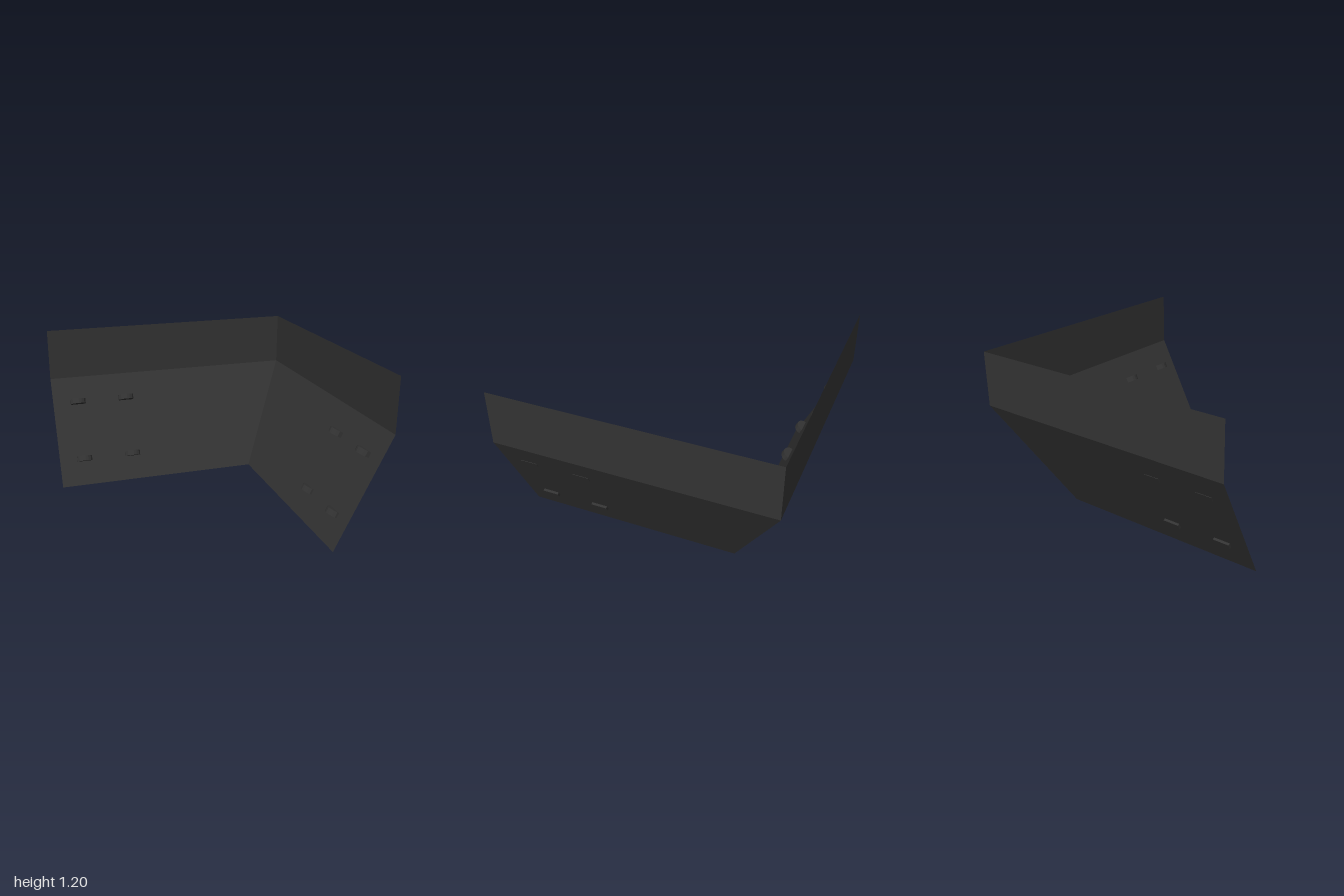
import * as THREE from 'three';

const material = new THREE.MeshStandardMaterial({ color: 0x333333, side: THREE.DoubleSide });
material.flatShading = true;
const TILT = Math.atan2(0.4, 0.8);

function named(name, geometry) {
  const mesh = new THREE.Mesh(geometry, material);
  mesh.name = name;
  return mesh;
}

// Flat four-sided sheet, corners in order
function sheet(a, b, c, d) {
  const g = new THREE.BufferGeometry();
  g.setAttribute('position', new THREE.Float32BufferAttribute([a, b, c, a, c, d].flat(), 3));
  g.computeVertexNormals();
  return g;
}

// Small block with a rounded nose, standing out along +z
function holdGeometry() {
  const side = [[0.06, 0], [0.06, 0.033], [0.046, 0.056], [0.023, 0.07]];
  const points = [...side, [0, 0.0745], ...side.map(([x, y]) => [-x, y]).reverse()];
  const shape = new THREE.Shape(points.map(([x, y]) => new THREE.Vector2(x, y)));
  const length = 0.041;
  return new THREE.ExtrudeGeometry(shape, { depth: length, bevelEnabled: false })
    .rotateX(Math.PI / 2)
    .translate(0, length / 2, 0);
}

// One wall along x at the back; s = -1 gives its mirror image
function wing(name, s) {
  const group = new THREE.Group();
  group.name = name;

  // Sloping lower wall, mitred at the corner, and upright band above
  const lower = [[-s, 0, -0.6], [0.6 * s, 0, -0.6], [s, 0.8, -1], [-s, 0.8, -1]];
  const upper = [[-s, 0.8, -1], [s, 0.8, -1], [s, 1.2, -1], [-s, 1.2, -1]];
  if (s < 0) { lower.reverse(); upper.reverse(); }
  group.add(named('slopedWall', sheet(...lower)), named('uprightBand', sheet(...upper)));

  // Fittings placed in the plane of the slope: y up the slope, z out of it
  const slope = new THREE.Group();
  slope.name = 'slopeFittings';
  slope.position.z = -0.6;
  slope.rotation.x = -TILT;
  group.add(slope);

  const hold = holdGeometry();
  for (const x of [-0.8, -0.4]) {
    for (const [y, z] of [[0.214, -0.0175], [0.686, -0.003]]) {
      const mesh = named('hold', hold);
      mesh.position.set(x * s, y, z);
      slope.add(mesh);
    }
  }

  // Thin rectangular plate just off the slope
  const plate = named('plate', new THREE.PlaneGeometry(0.226, 0.352));
  plate.position.set(0.2 * s, 0.452, 0.02);
  slope.add(plate);
  return group;
}

export function createModel() {
  const model = new THREE.Group();
  model.name = 'cornerWall';
  const side = wing('leftWall', -1);
  side.rotation.y = -Math.PI / 2;
  model.add(wing('backWall', 1), side);
  return model;
}
